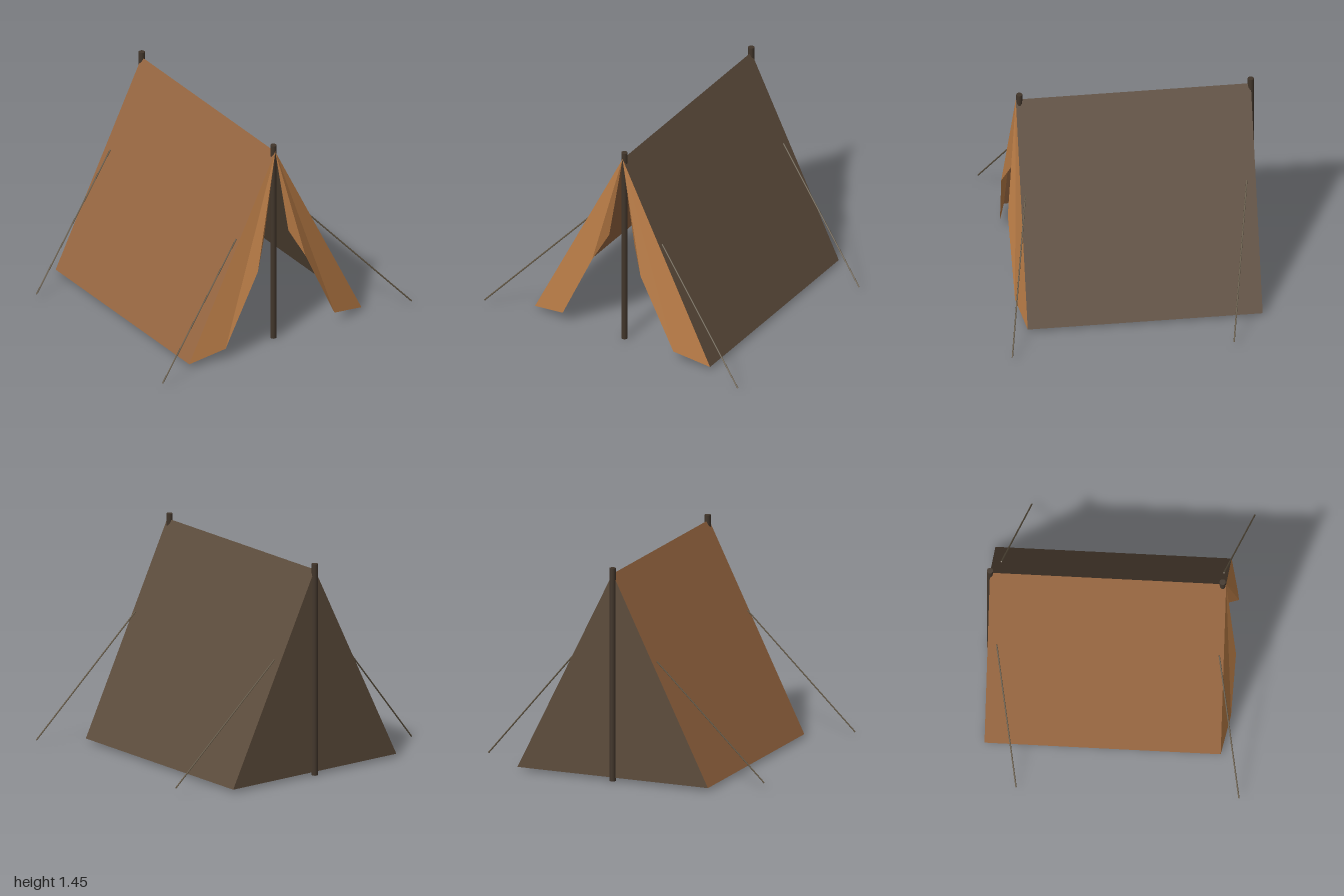
import * as THREE from 'three';

const material = (name, color, side = THREE.FrontSide) => {
  const m = new THREE.MeshStandardMaterial({ color, side });
  m.name = name;
  return m;
};

// Flat-shaded cloth piece: a fan of triangles around its first corner
function fan(name, points, mat) {
  const positions = [];
  for (let i = 1; i < points.length - 1; i++) {
    positions.push(...points[0], ...points[i], ...points[i + 1]);
  }
  const geometry = new THREE.BufferGeometry();
  geometry.setAttribute('position', new THREE.Float32BufferAttribute(positions, 3));
  geometry.computeVertexNormals();
  const mesh = new THREE.Mesh(geometry, mat);
  mesh.name = name;
  return mesh;
}

// Straight round rod between two points
function rod(name, from, to, radius, sides, mat) {
  const a = new THREE.Vector3(...from);
  const b = new THREE.Vector3(...to);
  const dir = b.clone().sub(a);
  const mesh = new THREE.Mesh(new THREE.CylinderGeometry(radius, radius, dir.length(), sides), mat);
  mesh.position.copy(a).add(b).multiplyScalar(0.5);
  mesh.quaternion.setFromUnitVectors(new THREE.Vector3(0, 1, 0), dir.normalize());
  mesh.name = name;
  return mesh;
}

export function createModel() {
  const tent = new THREE.Group();
  tent.name = 'tent';

  const tan = material('tan flap canvas', 0xb97c46, THREE.DoubleSide);
  const brown = material('brown canvas', 0x966640, THREE.DoubleSide);
  const dark = material('dark canvas', 0x5c4b3b, THREE.DoubleSide);
  const wood = material('dark wood', 0x42362b);
  const cord = material('rope', 0x665a47);

  const top = 1.41, hem = 0.022, half = 0.688, front = 0.72, back = -0.84;

  for (const s of [1, -1]) {
    const side = s > 0 ? 'left' : 'right';

    // Sloping roof panel
    const panel = [[0, top, front], [s * half, hem, front], [s * half, hem, back], [0, top, back]];
    if (s < 0) panel.reverse();
    tent.add(fan(side + 'RoofPanel', panel, s > 0 ? dark : brown));

    // Door flap, folded open and bulging forward
    const flap = [
      [0, top, front],
      [s * half, hem, front],
      [s * 0.435, 0.085, 0.775],
      [s * 0.19, 0.6, 0.795],
      [s * 0.098, 0.79, 0.73],
    ];
    if (s > 0) flap.push(flap.shift(), ...[]), flap.reverse();
    // Keep the apex as the fan centre
    const apex = flap.findIndex((p) => p[0] === 0);
    tent.add(fan(side + 'DoorFlap', [...flap.slice(apex), ...flap.slice(0, apex)], tan));

    // Guy ropes
    tent.add(rod(side + 'FrontRope', [s * 0.292, 0.83, 0.69], [s * 0.995, 0.036, 0.857], 0.005, 6, cord));
    tent.add(rod(side + 'BackRope', [s * 0.292, 0.83, -0.78], [s * 0.995, 0.036, -0.615], 0.005, 6, cord));
  }

  // Closed rear wall
  tent.add(fan('backWall', [[0, top, back], [half, hem, back], [-half, hem, back]], dark));

  // Upright poles
  tent.add(rod('frontPole', [0, 0, 0.697], [0, 1.45, 0.697], 0.021, 10, wood));
  tent.add(rod('backPole', [0, 0, back], [0, 1.45, back], 0.021, 10, wood));

  return tent;
}
